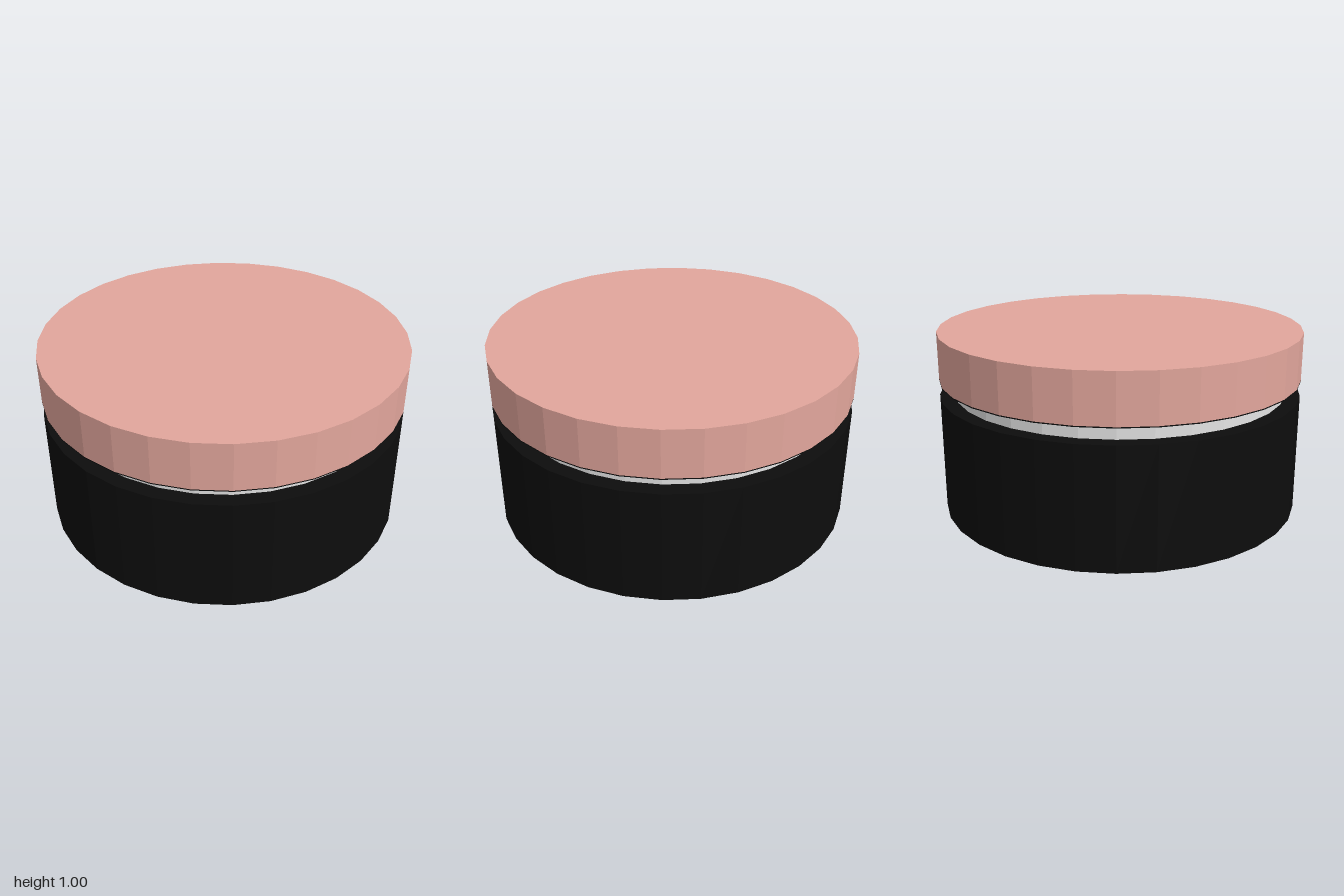
import * as THREE from 'three';

const SIDES = 32;

export function createModel() {
  const group = new THREE.Group();
  group.name = 'lowRoundStand';

  const black = new THREE.MeshStandardMaterial({ color: 0x0d0d0d, flatShading: true });
  black.name = 'black';
  const rose = new THREE.MeshStandardMaterial({ color: 0xe2a69c, flatShading: true });
  rose.name = 'rose';
  const paleGrey = new THREE.MeshStandardMaterial({ color: 0xe4e4e4, flatShading: true });
  paleGrey.name = 'paleGrey';

  // Solid faceted disc between two heights
  function disc(name, radius, bottom, top, material) {
    const geometry = new THREE.CylinderGeometry(radius, radius, top - bottom, SIDES);
    const mesh = new THREE.Mesh(geometry, material);
    mesh.name = name;
    mesh.position.y = (bottom + top) / 2;
    group.add(mesh);
  }

  disc('base', 1, 0, 0.65, black);
  disc('neck', 0.92, 0.65, 0.732, paleGrey);
  // Thin dark plate closing the underside of the lid
  disc('lidUnderside', 1, 0.732, 0.738, black);
  disc('lid', 1, 0.738, 1, rose);

  return group;
}
